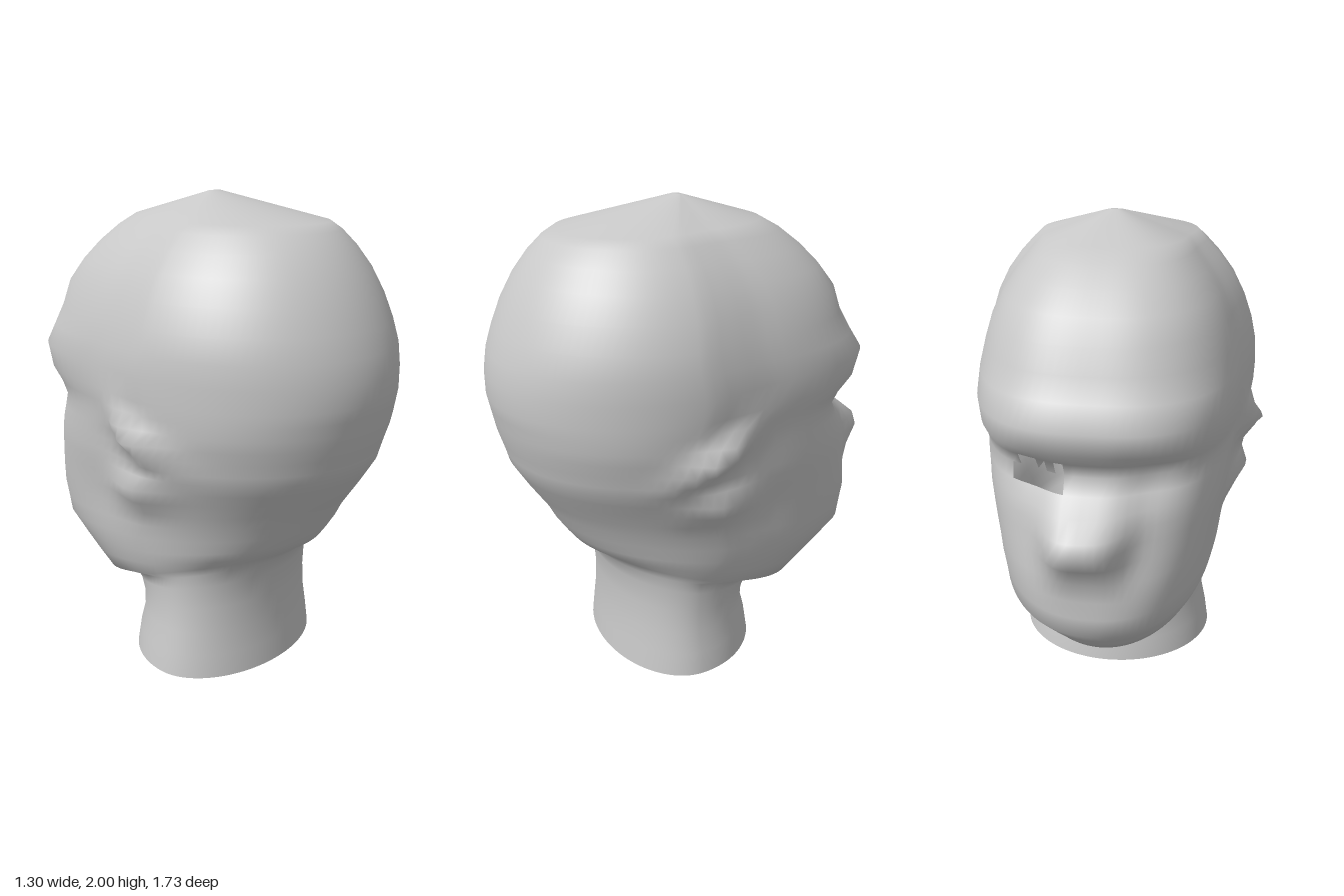
import * as THREE from 'three';

// Head sections from neck to crown: [y back, y face, z back, z face, half width]
const SECTIONS = [
  [0, 0, .43, -.265, .445], [.1, .1, .42, -.25, .43], [.2, .18, .41, -.23, .41],
  [.32, .24, .41, -.24, .4], [.43, .28, .42, -.27, .4], [.5, .29, .45, -.31, .405],
  [.54, .24, .49, -.5, .425], [.58, .32, .55, -.59, .45], [.62, .4, .58, -.68, .465],
  [.68, .48, .62, -.765, .48], [.74, .56, .65, -.765, .49], [.8, .64, .69, -.765, .505],
  [.86, .72, .73, -.75, .52], [.91, .81, .76, -.73, .54], [.96, .88, .79, -.715, .555],
  [1, .94, .8, -.705, .565], [1.05, 1, .815, -.69, .57], [1.1, 1.06, .83, -.665, .58],
  [1.15, 1.12, .84, -.645, .585], [1.2, 1.18, .85, -.68, .59], [1.25, 1.24, .86, -.74, .597],
  [1.34, 1.34, .86, -.77, .6], [1.43, 1.43, .845, -.705, .595], [1.52, 1.52, .815, -.65, .575],
];
const CROWN = [
  [1.62, 1.62, .775, -.62, .54], [1.72, 1.71, .72, -.55, .49], [1.8, 1.79, .66, -.47, .43],
  [1.86, 1.86, .6, -.38, .37], [1.89, 1.91, .55, -.29, .33], [2, 2, .05, .02, .03], [2, 2, .04, .04, 0],
];
const COLUMNS = 96;

const bump = (u, v) => Math.exp(-u * u - v * v);

function headPoint([yBack, yFace, zBack, zFace, width], angle) {
  const c = Math.cos(angle), s = Math.sin(angle);
  const zMid = zBack - .42 * (zBack - zFace);
  const y = THREE.MathUtils.lerp(yBack, yFace, ((1 - s) / 2) ** 1.5);
  let x = c * width, z = zMid + s * (zBack - zMid);
  const side = Math.sign(x);

  if (s < 0) {
    // blunt face with tapering temples, fading to a plain oval at the neck
    const headness = THREE.MathUtils.smoothstep(yBack, .5, .95);
    const power = 2 + .8 * headness;
    const radius = (Math.abs(c) ** power + Math.abs(s) ** power) ** (-1 / power);
    const forward = -s * radius;
    x *= radius * (1 - .08 * headness * Math.min(1, forward / .3));
    z = zMid - forward * (zMid - zFace);
    z -= (.155 + .12 * x) * Math.exp(-(((x - .02) / .165) ** 4) - ((y - .9) / .125) ** 2); // nose
    z += .03 * bump((Math.abs(x) - .24) / .1, (y - 1.13) / .07);                           // eye sockets
  }
  if (Math.abs(c) > .5) {
    const dz = z - .14, dy = y - 1.09;
    x += side * .08 * bump((dz * .91 - dy * .41) / .18, (dz * .41 + dy * .91) / .06); // ears
    x += side * .06 * bump((z - .1) / .16, (y - .85) / .06);                          // ear lobes
  }
  return [x, y, z];
}

function headGeometry() {
  const rows = [...SECTIONS, ...CROWN];
  const points = [], index = [];
  for (const row of rows)
    for (let j = 0; j < COLUMNS; j++) points.push(...headPoint(row, j / COLUMNS * Math.PI * 2));

  for (let i = 0; i < rows.length - 1; i++)
    for (let j = 0; j < COLUMNS; j++) {
      const next = (j + 1) % COLUMNS;
      const a = i * COLUMNS + j, b = i * COLUMNS + next, c = a + COLUMNS, d = b + COLUMNS;
      const [x, y, z] = [0, 1, 2].map(k => (points[a * 3 + k] + points[d * 3 + k]) / 2);
      // jagged opening in one eye socket
      const open = z < -.3 && x > .09 && x < .32 && y > 1.05 && y < 1.2;
      const ragged = open && y > 1.13;
      if (!open || (ragged && j % 4 === 0)) index.push(a, c, b);
      if (!open || (ragged && j % 4 < 2)) index.push(b, c, d);
    }
  const geometry = new THREE.BufferGeometry();
  geometry.setAttribute('position', new THREE.Float32BufferAttribute(points, 3));
  geometry.setIndex(index);
  geometry.computeVertexNormals();
  return geometry;
}

export function createModel() {
  const grey = new THREE.MeshStandardMaterial({ color: 0xc8c8c8 });
  grey.name = 'plain grey';
  grey.side = THREE.DoubleSide;
  const head = new THREE.Mesh(headGeometry(), grey);
  head.name = 'headAndNeck';
  const group = new THREE.Group();
  group.name = 'headBust';
  group.add(head);
  return group;
}
